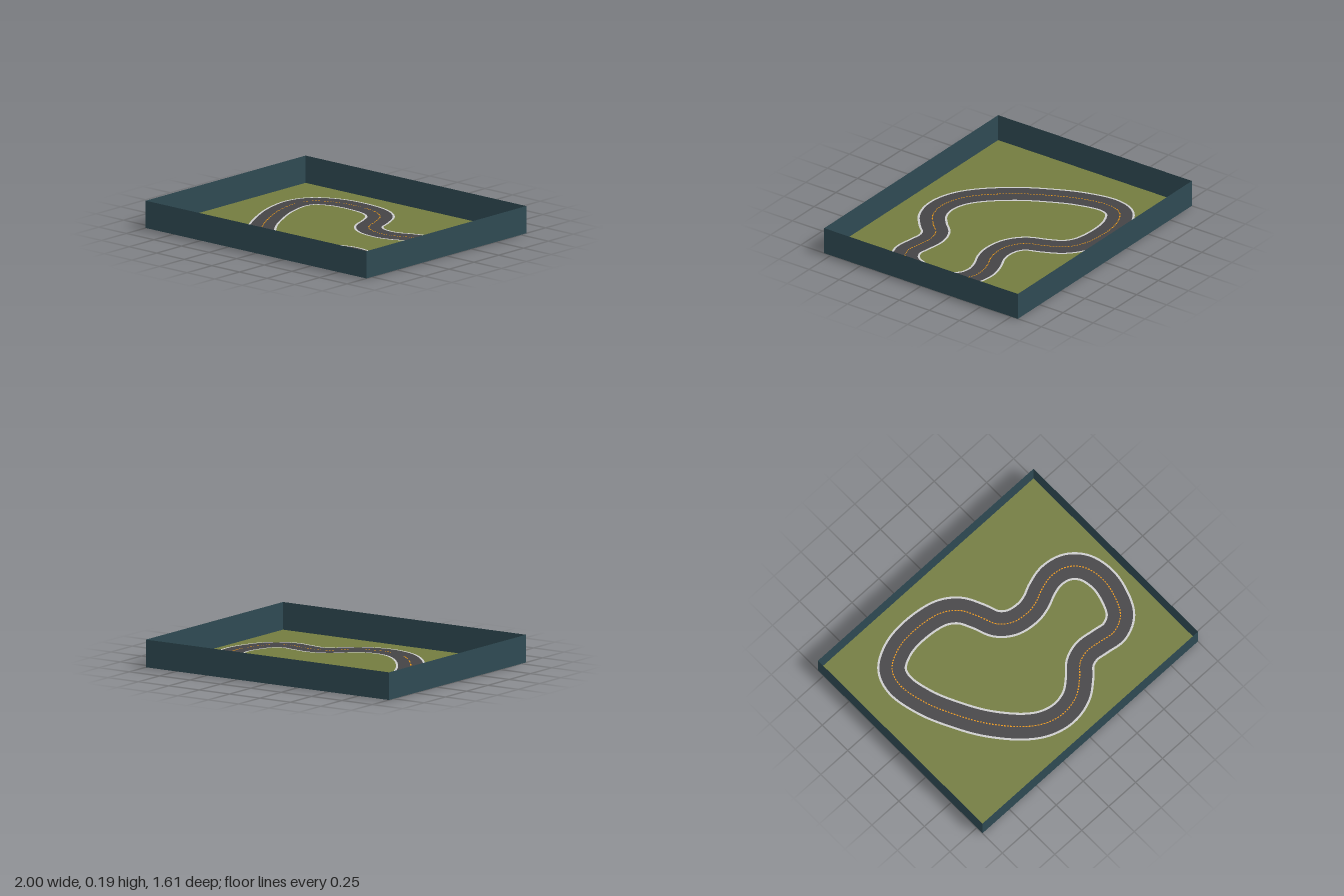
import * as THREE from 'three';

const W = 2, D = 1.61, H = 0.19;

// Control points (x, z) of the closed racing line
const LINE = [
  [-0.36, -0.565], [-0.52, -0.537], [-0.635, -0.465], [-0.674, -0.35], [-0.636, -0.14],
  [-0.55, 0.06], [-0.437, 0.255], [-0.265, 0.45], [-0.135, 0.532], [0.005, 0.558],
  [0.138, 0.525], [0.24, 0.448], [0.32, 0.37], [0.41, 0.342], [0.52, 0.354],
  [0.64, 0.367], [0.75, 0.31], [0.82, 0.165], [0.84, 0.03], [0.808, -0.105],
  [0.725, -0.188], [0.605, -0.214], [0.49, -0.187], [0.405, -0.15], [0.31, -0.132],
  [0.185, -0.153], [0.1, -0.22], [0.048, -0.345], [-0.015, -0.46], [-0.125, -0.535],
];

const mat = (name, color, side = THREE.FrontSide) => {
  const m = new THREE.MeshStandardMaterial({ color, side });
  m.name = name;
  return m;
};

export function createModel() {
  const grass = mat('grass green', 0x737c3f, THREE.DoubleSide);
  const wall = mat('slate wall', 0x2f4a53, THREE.DoubleSide);
  const asphalt = mat('asphalt grey', 0x454446);
  const white = mat('edge line white', 0xcccccc);
  const orange = mat('centre line orange', 0xf39c12);

  const model = new THREE.Group();
  model.name = 'raceTrack';
  const add = (name, geometry, material) => {
    const mesh = new THREE.Mesh(geometry, material);
    mesh.name = name;
    model.add(mesh);
    return mesh;
  };

  const curve = new THREE.CatmullRomCurve3(LINE.map(([x, z]) => new THREE.Vector3(x, 0, z)), true);
  curve.arcLengthDivisions = 1000;

  // Flat upward-facing strip along the line, between sideways offsets a < b;
  // spans is a list of [start, end, steps] in fractions of the lap
  const strip = (a, b, y, spans) => {
    const pos = [], nor = [], idx = [];
    for (const [start, end, steps] of spans) {
      for (let i = 0; i <= steps; i++) {
        const u = (start + (end - start) * i / steps) % 1;
        const p = curve.getPointAt(u), t = curve.getTangentAt(u);
        const k = pos.length / 3;
        for (const o of [a, b]) {
          pos.push(p.x - t.z * o, y, p.z + t.x * o);
          nor.push(0, 1, 0);
        }
        if (i < steps) idx.push(k, k + 1, k + 2, k + 1, k + 3, k + 2);
      }
    }
    const g = new THREE.BufferGeometry();
    g.setAttribute('position', new THREE.Float32BufferAttribute(pos, 3));
    g.setAttribute('normal', new THREE.Float32BufferAttribute(nor, 3));
    g.setIndex(idx);
    return g;
  };

  // Grass floor
  add('floor', new THREE.PlaneGeometry(W, D).rotateX(-Math.PI / 2), grass);

  // Four thin boundary walls
  for (const s of [1, -1]) {
    const turn = s > 0 ? 0 : Math.PI;
    add(s > 0 ? 'frontWall' : 'backWall',
      new THREE.PlaneGeometry(W, H).rotateY(turn).translate(0, H / 2, s * D / 2), wall);
    add(s > 0 ? 'leftWall' : 'rightWall',
      new THREE.PlaneGeometry(D, H).rotateY(s * Math.PI / 2).translate(s * W / 2, H / 2, 0), wall);
  }

  // Road with its two edge lines
  const lap = [[0, 1, 300]];
  add('road', strip(-0.086, 0.086, 0.003, lap), asphalt);
  add('edgeLineA', strip(-0.1, -0.085, 0.004, lap), white);
  add('edgeLineB', strip(0.085, 0.1, 0.004, lap), white);

  // Dashed centre line
  const dashes = 210;
  const spans = Array.from({ length: dashes }, (_, i) => [i / dashes, (i + 0.6) / dashes, 1]);
  add('centreDashes', strip(-0.004, 0.004, 0.005, spans), orange);

  return model;
}
